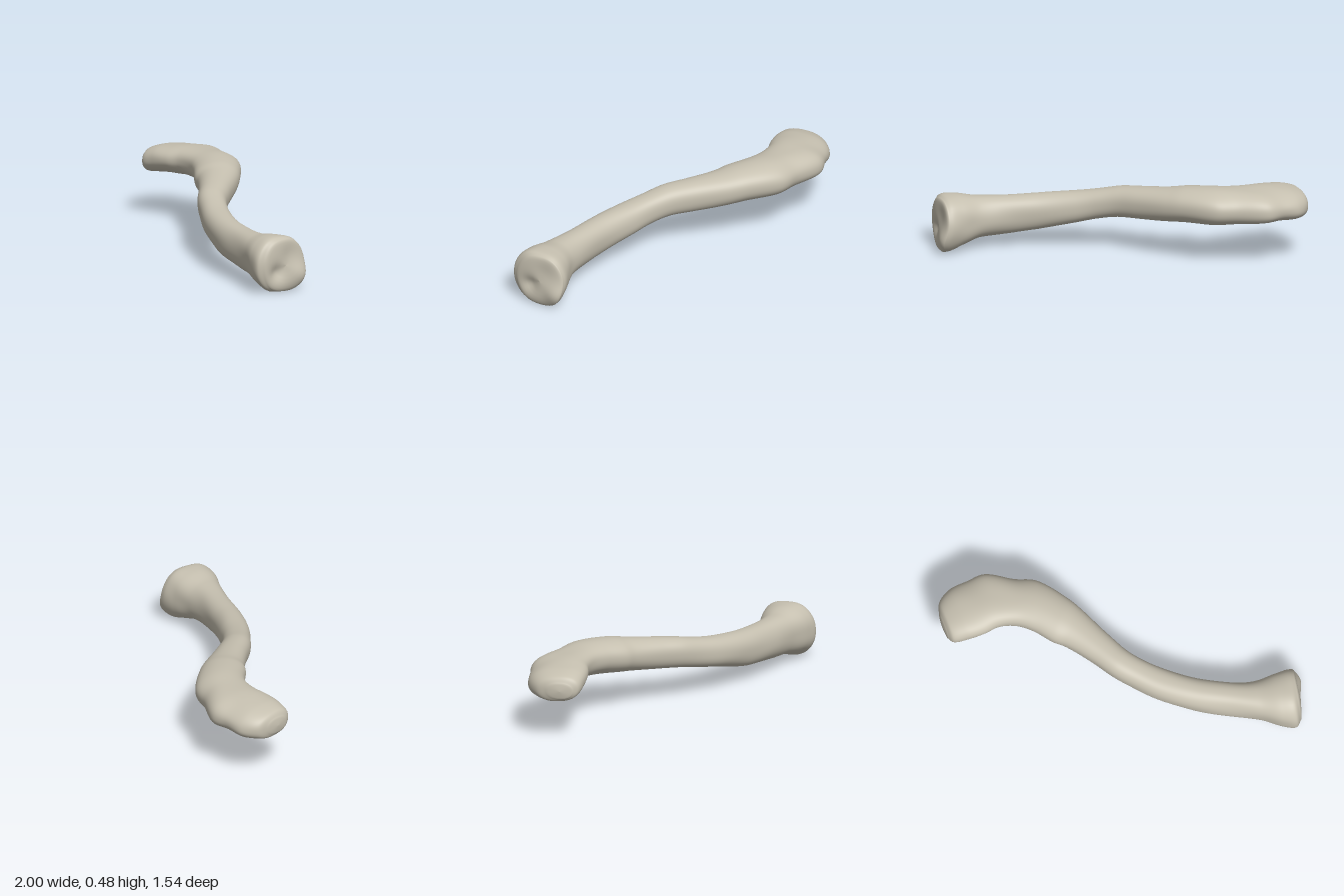
import * as THREE from 'three';

// Stations along the bone: back edge (x, z), front edge (x, z), top y, bottom y, edge tilt
const STATIONS = [
  [-0.995, -0.62, -0.995, -0.46, 0.40, 0.30, 0],
  [-0.97, -0.69, -0.97, -0.42, 0.435, 0.275, 0.01],
  [-0.88, -0.755, -0.88, -0.40, 0.46, 0.278, 0.015],
  [-0.76, -0.765, -0.77, -0.40, 0.472, 0.286, 0.02],
  [-0.65, -0.775, -0.68, -0.405, 0.48, 0.288, 0.02],
  [-0.48, -0.67, -0.57, -0.375, 0.486, 0.282, 0.015],
  [-0.35, -0.61, -0.48, -0.31, 0.488, 0.27, 0.01],
  [-0.21, -0.43, -0.39, -0.21, 0.478, 0.262, 0],
  [-0.15, -0.33, -0.33, -0.16, 0.463, 0.255, 0],
  [-0.05, -0.13, -0.21, -0.01, 0.435, 0.235, 0],
  [0.02, 0.0, -0.12, 0.115, 0.415, 0.222, 0],
  [0.10, 0.09, -0.03, 0.21, 0.39, 0.20, 0],
  [0.20, 0.17, 0.10, 0.335, 0.365, 0.165, 0],
  [0.40, 0.31, 0.30, 0.47, 0.34, 0.11, 0],
  [0.60, 0.40, 0.52, 0.585, 0.332, 0.088, 0],
  [0.72, 0.425, 0.67, 0.665, 0.335, 0.072, 0],
  [0.84, 0.42, 0.78, 0.74, 0.355, 0.035, 0],
  [0.92, 0.415, 0.86, 0.77, 0.36, 0.006, 0],
  [0.955, 0.425, 0.895, 0.74, 0.345, 0.01, 0],
];
const SIDES = 56, STEPS = 150;

// Gentle surface unevenness
const ripple = (p) =>
  0.003 * Math.sin(9 * p.x + 14 * p.y + 3) * Math.sin(11 * p.z + 1) +
  0.002 * Math.sin(23 * p.x - 17 * p.z) * Math.sin(31 * p.y + 2);
const bump = (y, z, y0, z0, r) => Math.exp(-((y - y0) ** 2 + (z - z0) ** 2) / (r * r));

function boneGeometry() {
  const curve = (f) => new THREE.CatmullRomCurve3(STATIONS.map((s) => new THREE.Vector3(...f(s))));
  const back = curve((s) => [s[0], 0, s[1]]);
  const front = curve((s) => [s[2], 0, s[3]]);
  const heights = curve((s) => [s[4], s[5], s[6]]);

  // Rows of the loft: position along the bone, scale, push along x
  const rows = [[0, 0.001, -0.008], [0, 0.5, -0.006], [0, 0.85, -0.002]];
  for (let i = 0; i <= STEPS; i++) rows.push([i / STEPS, 1, 0]);
  for (const s of [0.95, 0.86, 0.74, 0.6, 0.45, 0.3, 0.15, 0.001]) {
    rows.push([1, s, 0.02 * Math.sqrt(1 - s * s)]);
  }

  const pos = [], index = [];
  rows.forEach(([t, scale, push], r) => {
    const a = back.getPoint(t), b = front.getPoint(t), h = heights.getPoint(t);
    const c = a.clone().add(b).multiplyScalar(0.5);
    c.y = (h.x + h.y) / 2;
    const w = b.clone().sub(a).multiplyScalar(0.5);
    const half = (h.x - h.y) / 2;
    for (let j = 0; j < SIDES; j++) {
      const ang = (j / SIDES) * Math.PI * 2, co = Math.cos(ang), si = Math.sin(ang);
      // Slightly squared ellipse
      const n = 2.3, k = scale / (Math.abs(co) ** n + Math.abs(si) ** n) ** (1 / n);
      const p = c.clone().addScaledVector(w, co * k);
      p.y += si * k * half + co * k * h.z;
      const d = 1 + ripple(p) / 0.12;
      p.x = c.x + (p.x - c.x) * d + push;
      p.y = c.y + (p.y - c.y) * d;
      p.z = c.z + (p.z - c.z) * d;
      // Joint face: lower back lip, pit and knobs
      const face = THREE.MathUtils.smoothstep(p.x, 0.86, 0.95);
      p.x += face * (0.035 * bump(p.y, p.z, 0.1, 0.47, 0.08)
        - 0.03 * bump(p.y, p.z, 0.14, 0.65, 0.05)
        + 0.012 * bump(p.y, p.z, 0.05, 0.6, 0.07)
        - 0.012 * bump(p.y, p.z, 0.24, 0.55, 0.07));
      p.x = Math.min(p.x, 1);
      pos.push(p.x, p.y, p.z);
      if (r < rows.length - 1) {
        const j2 = (j + 1) % SIDES, o = r * SIDES, q = o + SIDES;
        index.push(o + j, q + j, o + j2, q + j, q + j2, o + j2);
      }
    }
  });
  const g = new THREE.BufferGeometry();
  g.setAttribute('position', new THREE.Float32BufferAttribute(pos, 3));
  g.setIndex(index);
  g.computeVertexNormals();
  return g;
}

export function createModel() {
  const boneMaterial = new THREE.MeshStandardMaterial({ color: 0xc6c0b0 });
  boneMaterial.name = 'bone';
  const bone = new THREE.Mesh(boneGeometry(), boneMaterial);
  bone.name = 'collarbone';
  const group = new THREE.Group();
  group.name = 'collarboneModel';
  group.add(bone);
  return group;
}
